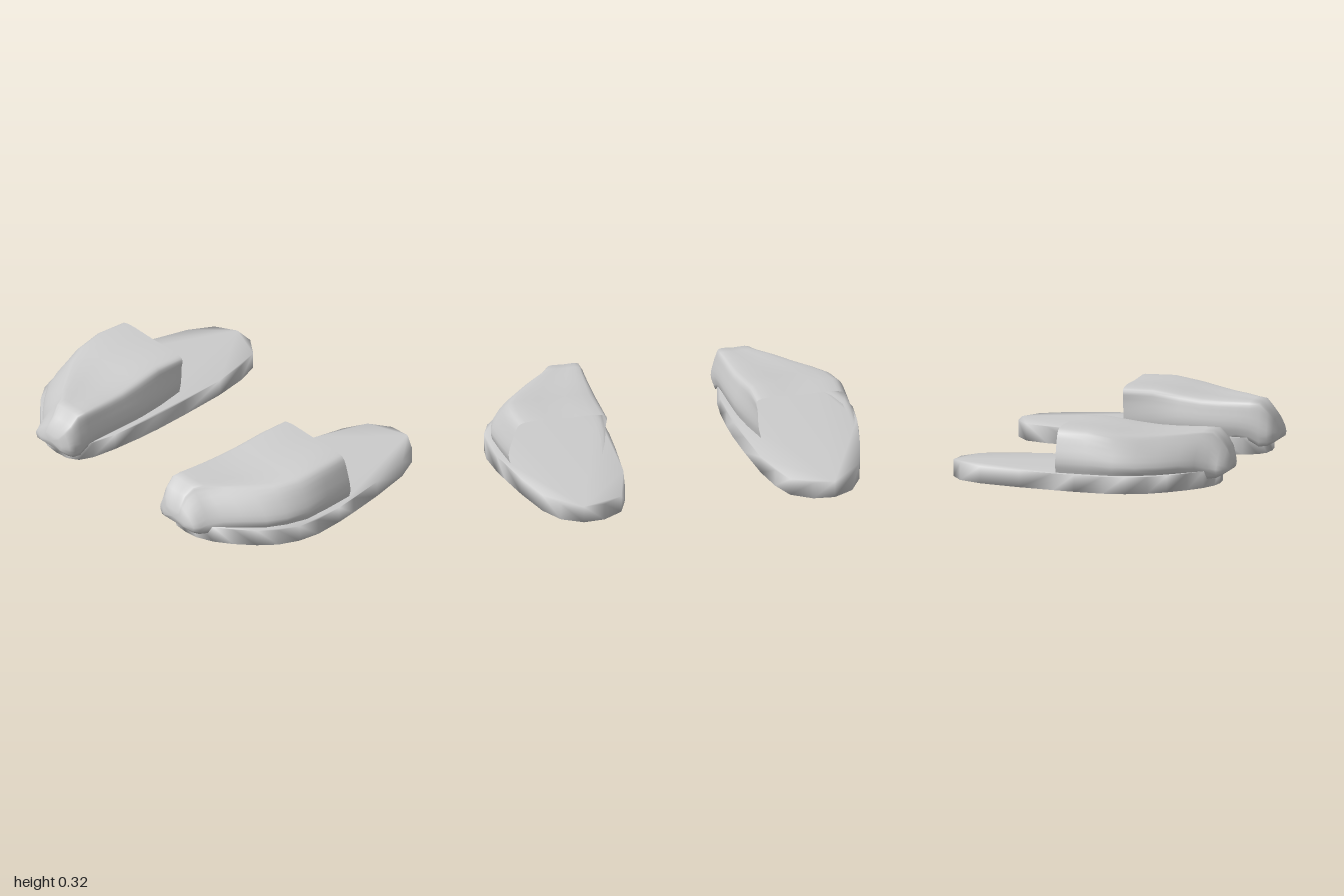
import * as THREE from 'three';
import { mergeVertices } from 'three/addons/utils/BufferGeometryUtils.js';

const grey = new THREE.MeshStandardMaterial({ color: 0xcccccc, side: THREE.DoubleSide });
grey.name = 'plain grey';

// Sole outline as [x, z], from the heel along the inner side to the toe and back
const OUTLINE = [
  [0.685, -0.745], [0.57, -0.735], [0.46, -0.66], [0.41, -0.53], [0.375, -0.35], [0.35, -0.08],
  [0.337, 0.12], [0.335, 0.26], [0.34, 0.42], [0.355, 0.56], [0.385, 0.635], [0.44, 0.67],
  [0.52, 0.677], [0.6, 0.668], [0.69, 0.63], [0.78, 0.565], [0.87, 0.48], [0.94, 0.39],
  [0.985, 0.28], [1.0, 0.16], [0.985, 0], [0.965, -0.12], [0.925, -0.32], [0.865, -0.55], [0.795, -0.68],
];

// Upper stations: z, inner x, outer x, inner shoulder x, outer shoulder x, top y, bottom y
const STATIONS = [
  [-0.115, 0.42, 0.945, 0.41, 0.89, 0.32, 0.085],
  [0.05, 0.385, 0.96, 0.41, 0.9, 0.32, 0.085],
  [0.2, 0.365, 0.967, 0.4, 0.88, 0.298, 0.085],
  [0.32, 0.36, 0.935, 0.39, 0.82, 0.284, 0.085],
  [0.42, 0.357, 0.885, 0.385, 0.74, 0.28, 0.085],
  [0.52, 0.355, 0.8, 0.38, 0.66, 0.28, 0.085],
  [0.59, 0.352, 0.73, 0.375, 0.59, 0.28, 0.075],
  [0.645, 0.35, 0.67, 0.375, 0.56, 0.277, 0.045],
  [0.69, 0.352, 0.655, 0.38, 0.54, 0.232, 0.05],
  [0.72, 0.365, 0.635, 0.4, 0.54, 0.19, 0.065],
  [0.738, 0.41, 0.58, 0.43, 0.54, 0.15, 0.08],
];
const BOTTOM_FROM = 5; // stations ahead of this one have an underside
const STEPS = 28;

function soleGeometry() {
  const shape = new THREE.Shape(OUTLINE.map(([x, z]) => new THREE.Vector2(x, -z)));
  const geo = new THREE.ExtrudeGeometry(shape, { depth: 0.09, bevelEnabled: false });
  geo.rotateX(-Math.PI / 2);
  geo.deleteAttribute('normal');
  geo.deleteAttribute('uv');
  return mergeVertices(geo, 1e-4);
}

// Arch from the inner bottom edge, over the foot, to the outer bottom edge
function arch([z, xi, xo, ti, to, yt, yb]) {
  const h = yt - yb, w = to - ti, mix = THREE.MathUtils.lerp;
  const points = [
    [xi + 0.015, yb], [xi, yb + 0.3 * h], [mix(xi, ti, 0.5), yb + 0.7 * h],
    [ti, yt - 0.07 * h], [ti + 0.07 * w, yt], [ti + 0.5 * w, yt], [to - 0.09 * w, yt],
    [to, yt - 0.07 * h], [mix(to, xo, 0.6), yb + 0.6 * h], [xo, yb + 0.22 * h], [xo - 0.012, yb],
  ].map(([x, y]) => new THREE.Vector3(x, y, z));
  return new THREE.CatmullRomCurve3(points).getPoints(STEPS);
}

function upperGeometry() {
  const n = STEPS + 1, last = STATIONS.length - 1;
  const points = STATIONS.flatMap(arch);
  const tip = points.push(new THREE.Vector3(0.495, 0.115, 0.745)) - 1;
  const index = [];
  for (let i = 0; i <= last; i++) {
    for (let j = 0; j < n; j++) {
      const k = (j + 1) % n;
      if (k === 0 && i < BOTTOM_FROM) continue;
      const a = i * n + j, d = i * n + k;
      if (i === last) index.push(a, tip, d);
      else index.push(a, a + n, d + n, a, d + n, d);
    }
  }
  const geo = new THREE.BufferGeometry().setFromPoints(points);
  geo.setIndex(index);
  return geo;
}

// Mirror across x, reversing the corner order so faces stay outward
function mirrored(geo) {
  const copy = geo.clone().scale(-1, 1, 1);
  const idx = copy.index.array;
  for (let i = 0; i < idx.length; i += 3) [idx[i], idx[i + 1]] = [idx[i + 1], idx[i]];
  return copy;
}

export function createModel() {
  const model = new THREE.Group();
  model.name = 'pairOfSlippers';
  const parts = { sole: soleGeometry(), upper: upperGeometry() };
  for (const side of ['left', 'right']) {
    const slipper = new THREE.Group();
    slipper.name = side + 'Slipper';
    for (const [name, base] of Object.entries(parts)) {
      const geo = side === 'left' ? base.clone() : mirrored(base);
      geo.computeVertexNormals();
      const mesh = new THREE.Mesh(geo, grey);
      mesh.name = name;
      slipper.add(mesh);
    }
    model.add(slipper);
  }
  return model;
}
